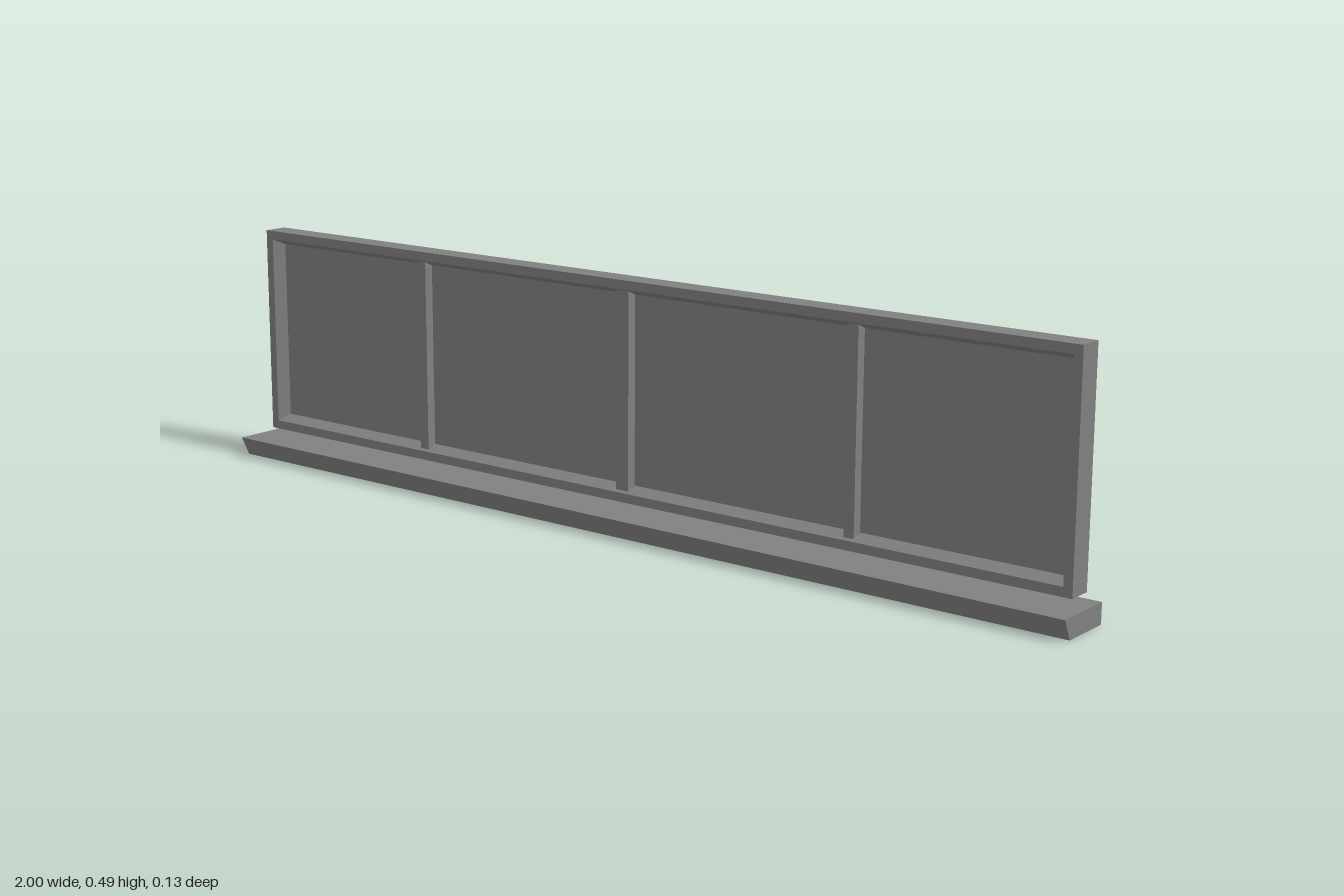
import * as THREE from 'three';

// Flat-shaded skin across a list of equal-length cross-sections (arrays of Vector3)
function skin(sections, closed) {
  const pos = [];
  const put = (...pts) => pts.forEach((p) => pos.push(p.x, p.y, p.z));
  for (let i = 0; i < sections.length - 1; i++) {
    const a = sections[i], b = sections[i + 1];
    const n = closed ? a.length : a.length - 1;
    for (let j = 0; j < n; j++) {
      const k = (j + 1) % a.length;
      put(a[j], a[k], b[k], a[j], b[k], b[j]);
    }
  }
  const g = new THREE.BufferGeometry();
  g.setAttribute('position', new THREE.Float32BufferAttribute(pos, 3));
  g.computeVertexNormals();
  return g;
}

export function createModel() {
  const model = new THREE.Group();
  model.name = 'window';
  const grey = new THREE.MeshStandardMaterial({ color: 0x808080, side: THREE.DoubleSide });
  grey.name = 'window grey';
  const add = (name, geometry, parent = model) => {
    const mesh = new THREE.Mesh(geometry, grey);
    mesh.name = name;
    parent.add(mesh);
    return mesh;
  };
  const V = (x, y, z) => new THREE.Vector3(x, y, z);

  // Hollow frame, open at the back: outer wall, front border, bevelled reveal
  const X = 0.975, Y0 = 0.054, Y1 = 0.487, glassZ = -0.03, inset = 0.03;
  const ring = ([d, z]) => [
    V(-X + d, Y0 + d, z), V(X - d, Y0 + d, z), V(X - d, Y1 - d, z), V(-X + d, Y1 - d, z),
  ];
  const frameProfile = [[0, -0.055], [0, -0.005], [0.018, -0.005], [inset, glassZ]];
  add('frame', skin(frameProfile.map(ring), true));

  // Single recessed pane
  const pane = add('pane', new THREE.PlaneGeometry(2 * (X - inset), Y1 - Y0 - 2 * inset));
  pane.position.set(0, (Y0 + Y1) / 2, glassZ);

  // Upright bars: channels open at the back, wider in the middle
  const bars = new THREE.Group();
  bars.name = 'uprightBars';
  model.add(bars);
  for (const [x, half] of [[-0.525, 0.014], [0, 0.018], [0.522, 0.014]]) {
    const section = (y) => [
      V(x + half, y, -0.048), V(x + half - 0.003, y, -0.012),
      V(x - half + 0.003, y, -0.012), V(x - half, y, -0.048),
    ];
    add('uprightBar', skin([section(Y0 + 0.021), section(Y1 - 0.021)], false), bars);
  }

  // Sill with a slanted front, closed ends and an open back
  const sill = new THREE.Group();
  sill.name = 'sill';
  model.add(sill);
  const sillProfile = [[-0.063, 0], [0.045, 0], [0.064, 0.04], [-0.063, 0.04]];
  const sillSection = (x) => sillProfile.map(([z, y]) => V(x, y, z));
  add('sillBoard', skin([sillSection(1), sillSection(-1)], false), sill);
  const endShape = new THREE.Shape(sillProfile.map(([z, y]) => new THREE.Vector2(-z, y)));
  for (const side of [-1, 1]) {
    const geometry = new THREE.ShapeGeometry(endShape).rotateY(Math.PI / 2);
    if (side < 0) geometry.scale(-1, 1, 1);
    add('sillEnd', geometry, sill).position.x = side;
  }
  return model;
}
